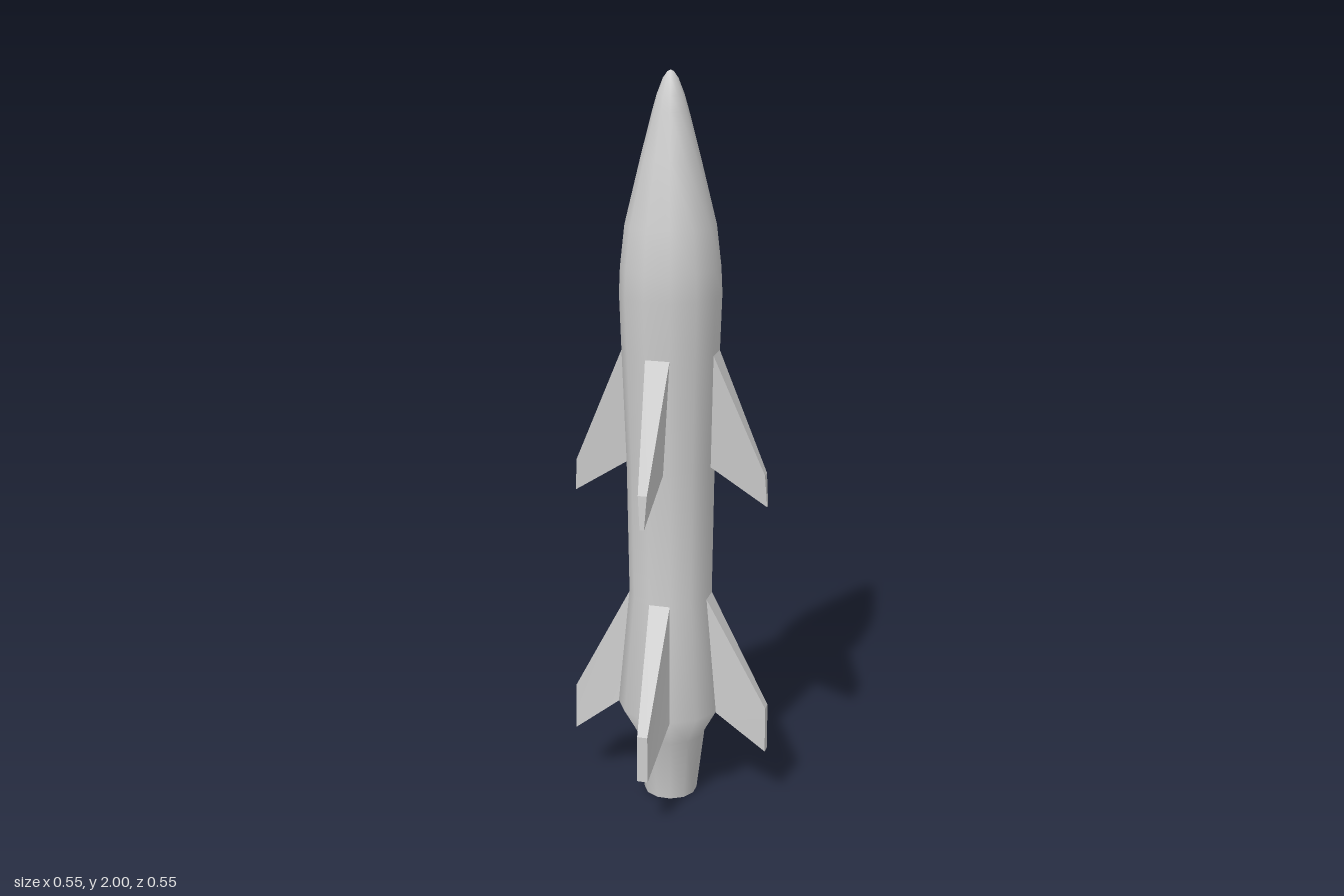
import * as THREE from 'three';

const SIDES = 12;
const FLAT = Math.cos(Math.PI / SIDES); // flat-to-corner ratio of the twelve-sided hull

const hullGrey = new THREE.MeshStandardMaterial({ color: 0xcccccc });
hullGrey.name = 'hull grey';

// Twelve-sided ring stack; profile is [distance to flat, height], flats face the four axes
function ringStack(name, profile, creased = false) {
  const points = profile.map(([x, y]) => new THREE.Vector2(x / FLAT, y));
  let geometry = new THREE.LatheGeometry(points, SIDES, Math.PI / SIDES);
  if (creased) {
    geometry = geometry.toNonIndexed();
    geometry.computeVertexNormals();
  }
  const mesh = new THREE.Mesh(geometry, hullGrey);
  mesh.name = name;
  return mesh;
}

// Swept, tapering fin; each corner is [reach, height, half thickness]
function finGeometry({ rootTop, rootBottom, tipTop, tipBottom }) {
  const geometry = new THREE.BoxGeometry(1, 1, 1);
  const pos = geometry.attributes.position;
  for (let i = 0; i < pos.count; i++) {
    const top = pos.getY(i) > 0;
    const corner = pos.getX(i) > 0 ? (top ? tipTop : tipBottom) : (top ? rootTop : rootBottom);
    pos.setXYZ(i, corner[0], corner[1], Math.sign(pos.getZ(i)) * corner[2]);
  }
  geometry.computeVertexNormals();
  return geometry;
}

// Four copies of a fin around the hull
function finSet(name, corners) {
  const set = new THREE.Group();
  set.name = name + 's';
  const geometry = finGeometry(corners);
  for (let i = 0; i < 4; i++) {
    const fin = new THREE.Mesh(geometry, hullGrey);
    fin.name = name;
    fin.rotation.y = i * Math.PI / 2;
    set.add(fin);
  }
  return set;
}

export function createModel() {
  const rocket = new THREE.Group();
  rocket.name = 'rocket';

  // Nozzle, flared tail, long tube and pointed nose in one smooth skin
  rocket.add(ringStack('hull', [
    [0.071, 0], [0.092, 0.18], [0.14, 0.268], [0.109, 0.6], [0.114, 0.97],
    [0.125, 1.28], [0.13, 1.43], [0.127, 1.5], [0.115, 1.61], [0.075, 1.78],
    [0.045, 1.9], [0.034, 1.94], [0.019, 1.98], [0.008, 1.996], [0, 2],
  ]));

  // Recessed exhaust opening with a flat rim
  rocket.add(ringStack('exhaust', [
    [0, 0.05], [0.04, 0.05], [0.048, 0], [0.071, 0],
  ], true));

  rocket.add(finSet('upperFin', {
    rootTop: [0.123, 1.283, 0.033], rootBottom: [0.11, 0.97, 0.012],
    tipTop: [0.262, 0.958, 0.012], tipBottom: [0.268, 0.868, 0.006],
  }));

  rocket.add(finSet('lowerFin', {
    rootTop: [0.107, 0.6, 0.029], rootBottom: [0.137, 0.268, 0.037],
    tipTop: [0.274, 0.285, 0.014], tipBottom: [0.275, 0.155, 0.015],
  }));

  return rocket;
}
